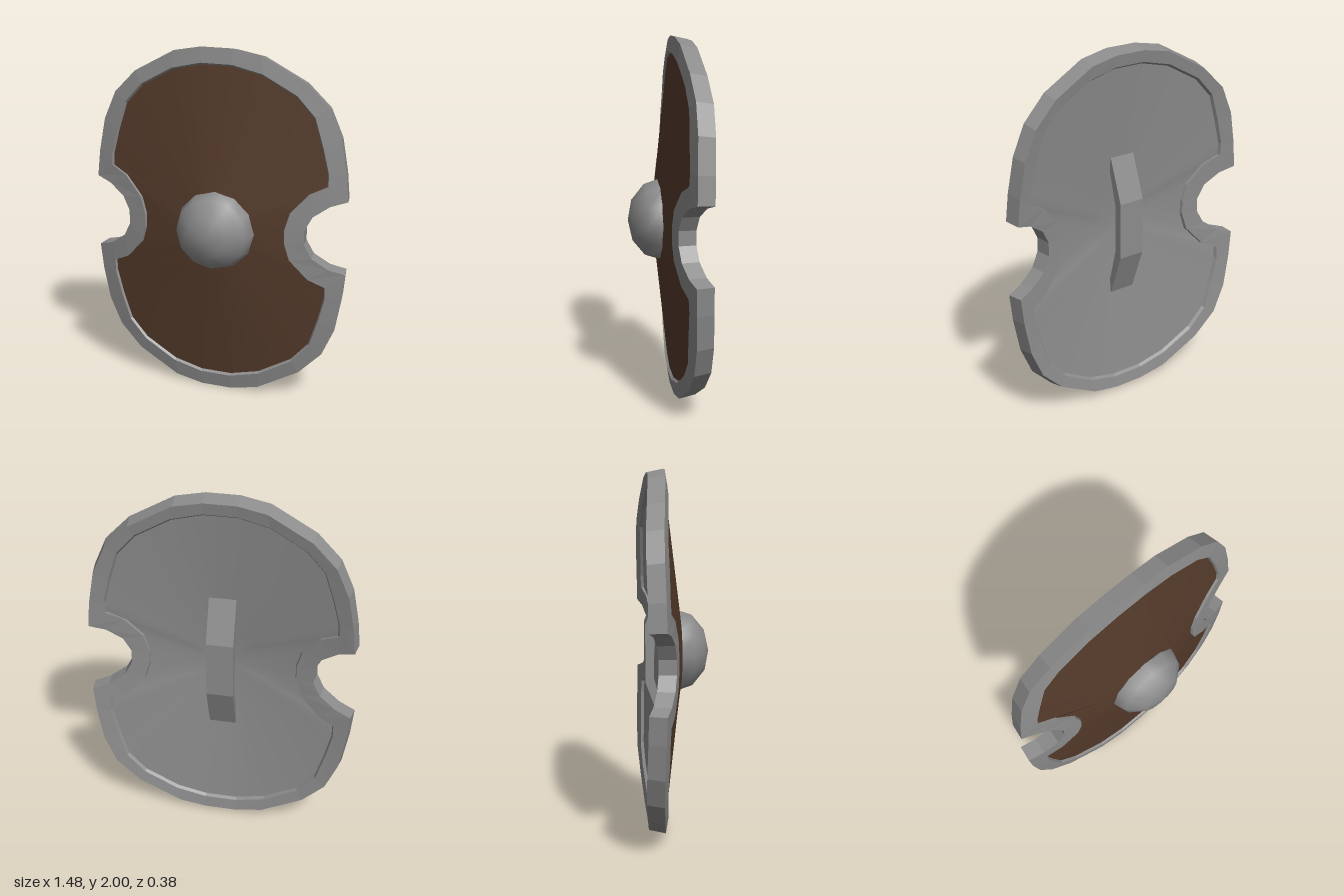
import * as THREE from 'three';

const material = (color, flatShading) => new THREE.MeshStandardMaterial({ color, flatShading });
const STEEL = 0x8c8c8c;
const WOOD = 0x553b2b;

// One quarter of the outline, from the top middle round into the side notch
const OUTER = [[0.09, 1], [0.25, 0.97], [0.49, 0.84], [0.62, 0.71], [0.69, 0.55],
  [0.725, 0.36], [0.74, 0.21], [0.65, 0.182], [0.56, 0.12], [0.518, 0.04]];
const INNER = [[0.09, 0.915], [0.26, 0.875], [0.45, 0.77], [0.55, 0.66], [0.6, 0.5],
  [0.635, 0.36], [0.635, 0.29], [0.54, 0.245], [0.44, 0.135], [0.412, 0.04]];

// Mirror a quarter into a full clockwise loop
function fullLoop(quarter) {
  const back = [...quarter].reverse();
  return [
    ...quarter,
    ...back.map(([x, y]) => [x, -y]),
    ...quarter.map(([x, y]) => [-x, -y]),
    ...back.map(([x, y]) => [-x, y]),
  ];
}

// Domed face of the shield
const dome = (x, y) => 0.03 - 0.21 * x * x - 0.09 * y * y;

// Loop laid on the dome, moved in z and scaled in the plane
const onDome = (loop, dz = 0, s = 1) =>
  loop.map(([x, y]) => [x * s, y * s, dome(x * s, y * s) + dz]);

// Evenly spaced clockwise ring round the centre (radius 0 closes a panel)
const hub = (loop, radius, z) => loop.map((_, i) => {
  const angle = (i + 0.5) / loop.length * Math.PI * 2;
  return [Math.sin(angle) * radius, Math.cos(angle) * radius, z];
});

// Surface running through a chain of matching closed loops
function skin(loops) {
  const n = loops[0].length;
  const index = [];
  for (let k = 0; k < loops.length - 1; k++) {
    for (let i = 0; i < n; i++) {
      const j = (i + 1) % n;
      const a = k * n, b = a + n;
      index.push(a + i, a + j, b + j, a + i, b + j, b + i);
    }
  }
  const geometry = new THREE.BufferGeometry();
  geometry.setAttribute('position', new THREE.Float32BufferAttribute(loops.flat(2), 3));
  geometry.setIndex(index);
  geometry.computeVertexNormals();
  return geometry;
}

export function createModel() {
  const shield = new THREE.Group();
  shield.name = 'shield';
  const facetedSteel = material(STEEL, true);
  const smoothSteel = material(STEEL, false);
  const add = (name, geometry, mat) => {
    const mesh = new THREE.Mesh(geometry, mat);
    mesh.name = name;
    shield.add(mesh);
    return mesh;
  };

  const outer = fullLoop(OUTER);
  const inner = fullLoop(INNER);

  // Raised rim with a box-like cross-section and a small step down to each panel
  const rimFront = onDome(inner);
  const frontEdge = onDome(inner, -0.015, 0.988);
  const backEdge = onDome(inner, -0.082, 0.988);
  add('rim', skin([rimFront, onDome(outer), onDome(outer, -0.096, 0.98),
    onDome(inner, -0.097), backEdge, frontEdge, rimFront]), facetedSteel);

  // Wooden front panel, set just below the rim
  add('frontPanel', skin([hub(inner, 0, 0.03), hub(inner, 0.2, 0.027), frontEdge]),
    material(WOOD, false));

  // Back panel, set just inside the rim
  add('backPanel', skin([backEdge, hub(inner, 0.2, -0.055), hub(inner, 0, -0.052)]),
    smoothSteel);

  // Round boss
  const bossGeometry = new THREE.SphereGeometry(0.232, 12, 3, 0, Math.PI * 2, 0, Math.PI / 2);
  bossGeometry.rotateX(Math.PI / 2).scale(1, 1, 0.81);
  add('boss', bossGeometry, smoothSteel).position.set(0.02, 0, 0);

  // Bent strap handle, profile drawn in z and y
  const strap = new THREE.Shape([[-0.05, 0.4], [-0.08, 0.4], [-0.168, 0.16], [-0.168, -0.16],
    [-0.08, -0.4], [-0.05, -0.4], [-0.12, -0.14], [-0.12, 0.14]]
    .map(([z, y]) => new THREE.Vector2(z, y)));
  const strapGeometry = new THREE.ExtrudeGeometry(strap, { depth: 0.15, bevelEnabled: false });
  strapGeometry.rotateY(-Math.PI / 2).translate(0.075, 0, 0);
  add('handle', strapGeometry, facetedSteel);

  shield.children.forEach((part) => { part.position.y = 1; });
  return shield;
}
